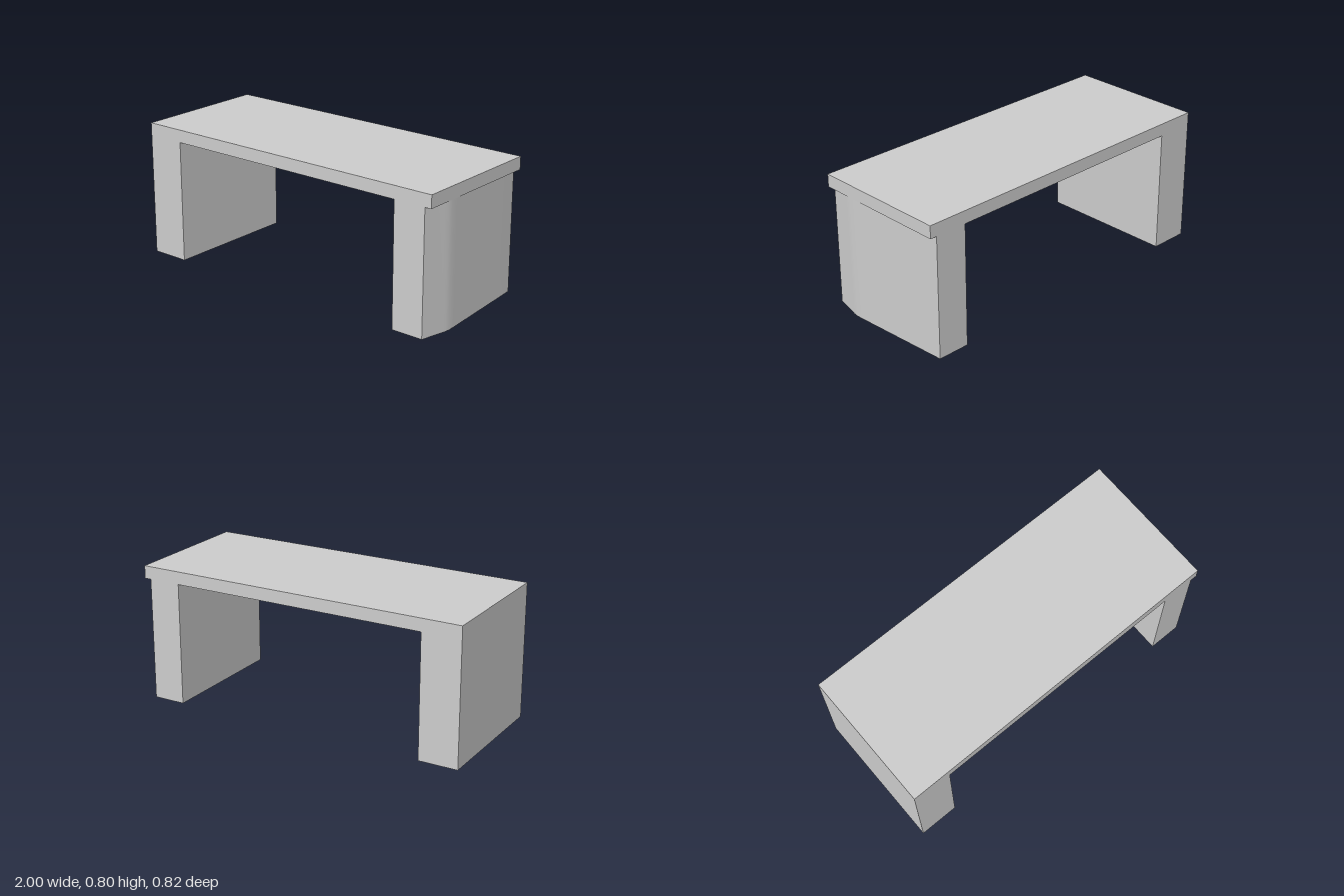
import * as THREE from 'three';
import { toCreasedNormals } from 'three/addons/utils/BufferGeometryUtils.js';

export function createModel() {
  const group = new THREE.Group();
  const material = new THREE.MeshStandardMaterial({ color: 0xcccccc });
  const height = 0.8, underside = 0.725, halfDepth = 0.41, inner = 0.767;

  const add = (name, geometry) => {
    const mesh = new THREE.Mesh(geometry, material);
    mesh.name = name;
    group.add(mesh);
  };
  const shapeOf = (points) => new THREE.Shape(points.map(([x, y]) => new THREE.Vector2(x, y)));

  // Top slab and straight leg: one upside-down L run through the depth
  const frame = new THREE.ExtrudeGeometry(
    shapeOf([[-1, 0], [-inner, 0], [-inner, underside], [1, underside], [1, height], [-1, height]]),
    { depth: 2 * halfDepth, bevelEnabled: false }
  );
  frame.translate(0, 0, -halfDepth);
  add('topAndRightLeg', frame);

  // Other leg: plan outline [x, z] with a softly bent outer face under the slab
  const plan = [
    [inner, halfDepth], [0.96, halfDepth], [0.991, 0.275], [0.997, 0.25],
    [1, 0.225], [0.998, 0.18], [0.96, -halfDepth], [inner, -halfDepth],
  ];
  const leg = new THREE.ExtrudeGeometry(
    shapeOf(plan.map(([x, z]) => [x, -z])),
    { depth: underside, bevelEnabled: false }
  );
  leg.rotateX(-Math.PI / 2);
  add('leftLeg', toCreasedNormals(leg, Math.PI / 6));

  return group;
}
